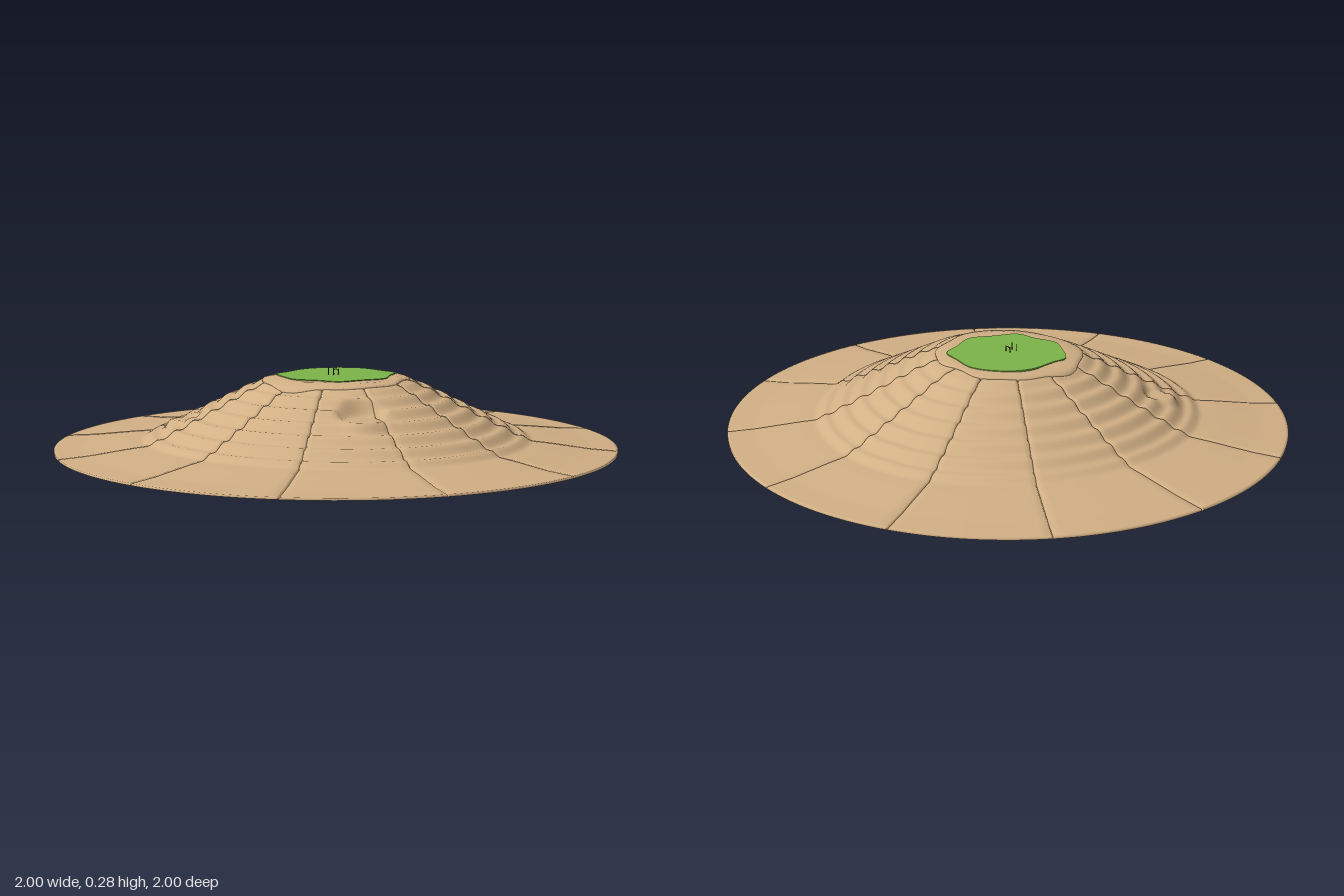
import * as THREE from 'three';

const sand = new THREE.MeshStandardMaterial({ color: 0xd2b085, side: THREE.DoubleSide });
sand.name = 'sand';
const grass = new THREE.MeshStandardMaterial({ color: 0x7cb54a, side: THREE.DoubleSide });
grass.name = 'grass';
const darkWood = new THREE.MeshStandardMaterial({ color: 0x4a3a2a });
darkWood.name = 'darkWood';

// Radius and height of the slope, from the plateau edge to the rim
const PROFILE = [[0.0, 0.252], [0.2, 0.252], [0.27, 0.237], [0.35, 0.2], [0.5, 0.125],
  [0.6, 0.077], [0.69, 0.036], [0.75, 0.031], [0.9, 0.014], [1, 0.008]];
// Level ledges set into the slope: x, z, radius, height
const LEDGES = [[0.34, 0.27, 0.09, 0.155], [-0.37, 0.4, 0.06, 0.105]];

function slope(r) {
  let i = 1;
  while (i < PROFILE.length - 1 && PROFILE[i][0] < r) i++;
  const [r0, y0] = PROFILE[i - 1], [r1, y1] = PROFILE[i];
  return y0 + (y1 - y0) * Math.min(1, (r - r0) / (r1 - r0));
}

function heightAt(x, z) {
  const r = Math.hypot(x, z), a = Math.atan2(z, x);
  // the hill leans a little, the rim stays round
  const wobble = 0.018 * Math.cos(a) + 0.012 * Math.sin(3 * a + 1);
  const rr = r - wobble * THREE.MathUtils.smoothstep(1 - r, 0, 0.35);
  let y = slope(rr);
  const band = THREE.MathUtils.smoothstep(rr, 0.25, 0.34) * (1 - THREE.MathUtils.smoothstep(rr, 0.64, 0.7));
  y += 0.0055 * band * Math.sin((rr - 0.25) * Math.PI * 2 / 0.066);
  for (const [lx, lz, lr, ly] of LEDGES) {
    const d = Math.hypot(x - lx, z - lz);
    y += (ly - y) * (1 - THREE.MathUtils.smoothstep(d, lr * 0.7, lr * 1.1));
  }
  return y;
}

// Smooth indexed grid of (rows + 1) x (cols + 1) points
function grid(rows, cols, point) {
  const pos = [], idx = [];
  for (let i = 0; i <= rows; i++) {
    for (let j = 0; j <= cols; j++) pos.push(...point(i, j));
  }
  for (let i = 0; i < rows; i++) {
    for (let j = 0; j < cols; j++) {
      const a = i * (cols + 1) + j, b = a + cols + 1;
      idx.push(a, a + 1, b, a + 1, b + 1, b);
    }
  }
  const g = new THREE.BufferGeometry();
  g.setAttribute('position', new THREE.Float32BufferAttribute(pos, 3));
  g.setIndex(idx);
  g.computeVertexNormals();
  return g;
}

// One twelfth of the hillside, its two sides folded down into the seams
function hillWedge(k) {
  const rows = 84, cols = 18, start = k * Math.PI / 6;
  return grid(rows, cols, (i, j) => {
    const r = 0.235 + 0.765 * Math.min(1, i / (rows - 1));
    const inset = 0.005 / r;
    const t = Math.min(1, Math.max(0, (j - 1) / (cols - 2)));
    const edge = j === 0 || j === cols;
    const a = edge ? start + (j ? Math.PI / 6 : 0) : start + inset + t * (Math.PI / 6 - 2 * inset);
    const x = r * Math.cos(a), z = r * Math.sin(a);
    const y = heightAt(x, z) - (edge || i === rows ? 0.008 : 0);
    return [x, Math.max(0, y), z];
  });
}

// Closed smooth outline through points given as x, z
function outline(points, n) {
  const curve = new THREE.CatmullRomCurve3(points.map(([x, z]) => new THREE.Vector3(x, 0, z)), true);
  return curve.getPoints(n);
}

export function createModel() {
  const model = new THREE.Group();
  model.name = 'terracedHill';

  const hillside = new THREE.Group();
  hillside.name = 'hillside';
  for (let k = 0; k < 12; k++) {
    const wedge = new THREE.Mesh(hillWedge(k), sand);
    wedge.name = 'hillWedge';
    hillside.add(wedge);
  }
  model.add(hillside);

  // Plateau: uneven cap over the wedge tips, closed underneath
  const n = 72;
  const rim = (a) => 0.262 + 0.02 * Math.sin(a + 0.5) + 0.007 * Math.sin(5 * a) + 0.005 * Math.sin(9 * a + 1);
  const rings = [0, 0.4, 0.74, 0.85, 0.94, 1, 1, 0.5, 0];
  const cap = grid(rings.length - 1, n, (i, j) => {
    const a = (j % n) / n * Math.PI * 2, r = rings[i] * rim(a);
    const x = r * Math.cos(a), z = r * Math.sin(a);
    const y = i < 6 ? Math.min(0.253, heightAt(x, z) + 0.004) : heightAt(rim(a) * Math.cos(a), rim(a) * Math.sin(a)) - 0.006;
    return [x, i === 0 ? 0.253 : i === 8 ? 0.225 : y, z];
  });
  const plateau = new THREE.Mesh(cap, sand);
  plateau.name = 'plateau';
  model.add(plateau);

  // Grass patch with a wavy edge
  const edge = outline([[-0.04, -0.2], [0.05, -0.19], [0.13, -0.175], [0.16, -0.11], [0.205, -0.02],
    [0.17, 0.07], [0.135, 0.15], [0.06, 0.17], [-0.02, 0.2], [-0.1, 0.17], [-0.175, 0.12],
    [-0.18, 0.06], [-0.19, -0.04], [-0.165, -0.11], [-0.1, -0.175]], 90);
  const shape = new THREE.Shape(edge.slice(0, -1).map((p) => new THREE.Vector2(p.x, -p.z)));
  const turf = new THREE.ExtrudeGeometry(shape, { depth: 0.008, bevelEnabled: false });
  turf.rotateX(-Math.PI / 2);
  const patch = new THREE.Mesh(turf, grass);
  patch.name = 'grassPatch';
  patch.position.y = 0.248;
  model.add(patch);

  // Tiny marker in the middle: thin posts and a ring
  const marker = new THREE.Group();
  marker.name = 'marker';
  for (const [x, z, h] of [[-0.012, 0.028, 0.026], [0.012, 0.028, 0.026], [-0.012, 0, 0.02], [0.012, 0, 0.02]]) {
    const post = new THREE.Mesh(new THREE.CylinderGeometry(0.0015, 0.0015, h, 6), darkWood);
    post.name = 'markerPost';
    post.position.set(x, 0.256 + h / 2, z);
    marker.add(post);
  }
  const ring = new THREE.Mesh(new THREE.TorusGeometry(0.012, 0.0015, 6, 20), darkWood);
  ring.name = 'markerRing';
  ring.position.set(0, 0.263, 0);
  marker.add(ring);
  model.add(marker);

  return model;
}
